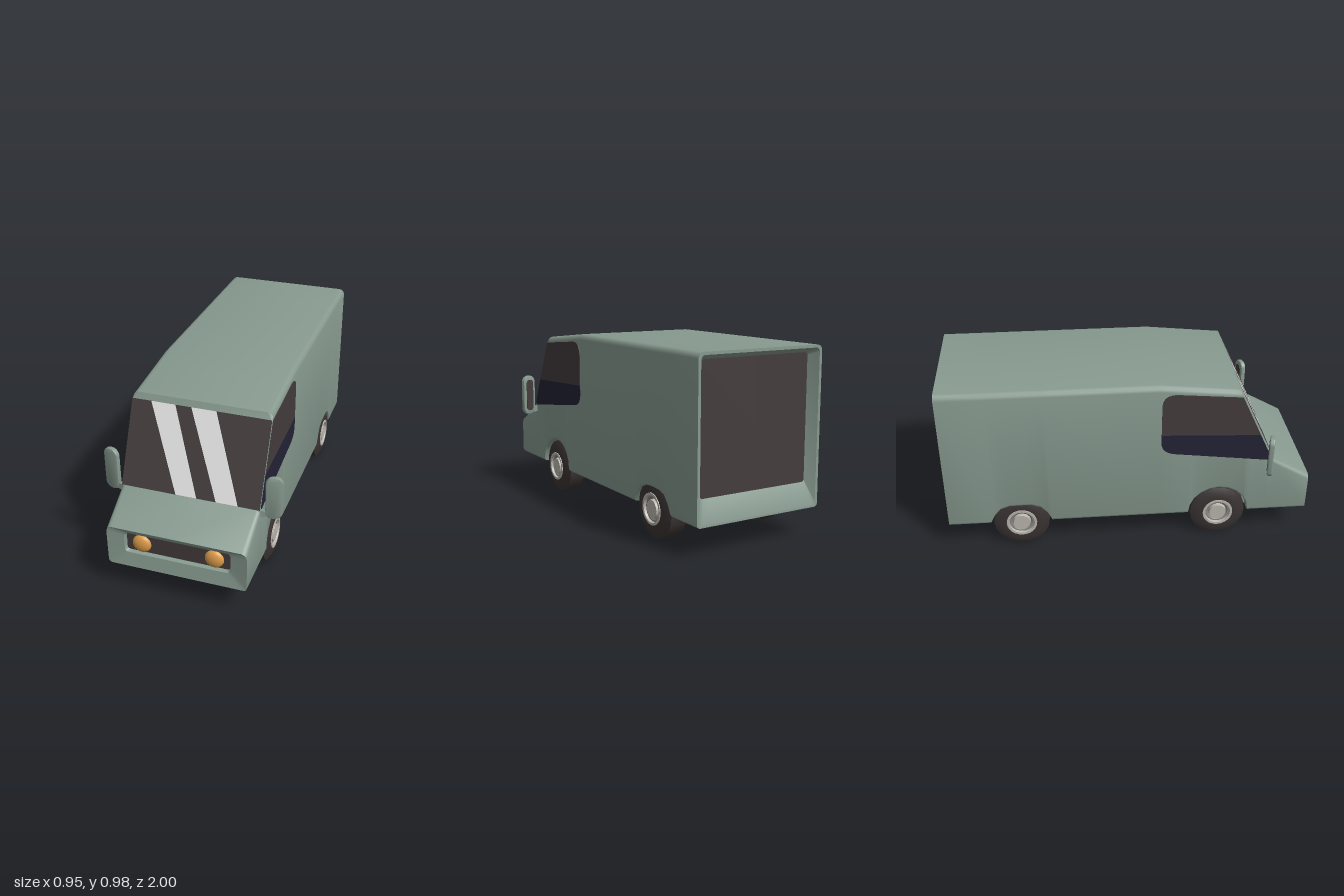
import * as THREE from 'three';
import { toCreasedNormals } from 'three/addons/utils/BufferGeometryUtils.js';

const material = (name, color, side = THREE.FrontSide) => {
  const m = new THREE.MeshStandardMaterial({ color, side });
  m.name = name;
  return m;
};

// Piecewise linear lookup through [z, value] pairs
function sample(pairs, z) {
  if (z <= pairs[0][0]) return pairs[0][1];
  for (let i = 1; i < pairs.length; i++) {
    const [z0, v0] = pairs[i - 1], [z1, v1] = pairs[i];
    if (z <= z1) return v0 + (v1 - v0) * (z - z0) / (z1 - z0);
  }
  return pairs[pairs.length - 1][1];
}

// Rounded section at z: half width w, floor b, sill a, top t, radii rb and rt
function section(z, w, b, a, t, rb, rt) {
  const half = [[0, b], [w * 0.81, b], [w * 0.81, a]];
  for (let i = 0; i <= 3; i++) {
    const k = i * Math.PI / 6;
    half.push([w - rb + rb * Math.sin(k), a + rb - rb * Math.cos(k)]);
  }
  for (let i = 0; i <= 3; i++) {
    const k = i * Math.PI / 6;
    half.push([w - rt + rt * Math.cos(k), t - rt + rt * Math.sin(k)]);
  }
  const mirrored = half.slice(1).reverse().map(([x, y]) => [-x, y]);
  return [...half, [0, t], ...mirrored].map(([x, y]) => [x, y, z]);
}

function loft(rings, crease = 0.6) {
  const n = rings[0].length, index = [];
  for (let i = 0; i < rings.length - 1; i++) {
    for (let j = 0; j < n; j++) {
      const k = (j + 1) % n, a = i * n + j, b = i * n + k;
      index.push(a, b, b + n, a, b + n, a + n);
    }
  }
  const g = new THREE.BufferGeometry();
  g.setAttribute('position', new THREE.Float32BufferAttribute(rings.flat(2), 3));
  g.setIndex(index);
  return toCreasedNormals(g, crease);
}

const collapse = (ring, y) => ring.map(p => [0, y, p[2]]);

const lathe = (pts, segments) => toCreasedNormals(
  new THREE.LatheGeometry(pts.map(([r, y]) => new THREE.Vector2(r, y)), segments), 0.5);

function roundedShape(w, h, r) {
  const s = new THREE.Shape(), x = w / 2, y = h / 2;
  s.absarc(x - r, y - r, r, 0, Math.PI / 2);
  s.absarc(r - x, y - r, r, Math.PI / 2, Math.PI);
  s.absarc(r - x, r - y, r, Math.PI, Math.PI * 1.5);
  s.absarc(x - r, r - y, r, Math.PI * 1.5, Math.PI * 2);
  return s;
}

export function createModel() {
  const van = new THREE.Group();
  van.name = 'van';
  const paint = material('greenPaint', 0x879a8f);
  const dark = material('darkGlass', 0x443c3d, THREE.DoubleSide);
  const navy = material('navyGlass', 0x232336);
  const shine = material('glassShine', 0xe6e6e6, THREE.DoubleSide);
  const amber = material('amberLamp', 0xdc9c4a);
  const rubber = material('rubber', 0x3a3433);
  const silver = material('silver', 0xbab6ad);
  const grey = material('greyMetal', 0x858582);

  const add = (name, geometry, mat, parent = van) => {
    const m = new THREE.Mesh(geometry, mat);
    m.name = name;
    parent.add(m);
    return m;
  };

  // Body shell with roof line, wheel arches and recessed ends
  const floor = 0.155;
  const roof = [[-1, 0.98], [0.16, 0.98], [0.585, 0.935], [0.79, 0.495], [1, 0.38]];
  const topRadius = [[-1, 0.03], [0.585, 0.03], [0.6, 0.006], [0.785, 0.006], [0.79, 0.02], [1, 0.03]];
  const sill = [[-0.77, floor], [-0.745, 0.205], [-0.71, 0.245], [-0.66, 0.262],
    [-0.54, 0.262], [-0.49, 0.245], [-0.455, 0.205], [-0.43, floor]];
  for (let i = 0; i <= 10; i++) {
    const k = Math.PI * (1 - i / 10);
    sill.push([0.5 + 0.168 * Math.cos(k), floor + 0.163 * Math.sin(k)]);
  }
  const stations = [...new Set([...roof, ...topRadius, ...sill].map(p => p[0]))].sort((a, b) => a - b);
  const shell = stations.map(z => section(z, 0.37, floor, sample(sill, z), sample(roof, z), 0.018, sample(topRadius, z)));
  const rearRing = section(-0.95, 0.32, 0.28, 0.28, 0.94, 0.015, 0.015);
  const rearLip = section(-1, 0.355, 0.17, 0.17, 0.965, 0.02, 0.02);
  const grilleLip = section(0.985, 0.282, 0.232, 0.232, 0.352, 0.018, 0.018);
  const grilleRing = section(0.965, 0.275, 0.238, 0.238, 0.346, 0.015, 0.015);
  add('body', loft([rearRing, rearLip, ...shell, grilleLip, grilleRing]), paint);
  add('rearPanel', loft([collapse(rearRing, 0.6), rearRing]), dark);
  add('grille', loft([grilleRing, collapse(grilleRing, 0.292)]), dark);

  // Windscreen strips, each given by left and right x at the top and bottom
  const strips = [
    [-0.369, -0.265, -0.369, -0.075], [-0.265, -0.135, -0.075, 0.037],
    [-0.135, -0.05, 0.037, 0.14], [-0.05, 0.083, 0.14, 0.255], [0.083, 0.369, 0.255, 0.369]];
  strips.forEach(([tl, tr, bl, br], i) => {
    const g = new THREE.BufferGeometry();
    const yT = 0.905, zT = 0.604, yB = 0.498, zB = 0.793;
    g.setAttribute('position', new THREE.Float32BufferAttribute(
      [bl, yB, zB, br, yB, zB, tr, yT, zT, tl, yT, zT], 3));
    g.setIndex([0, 1, 2, 0, 2, 3]);
    g.computeVertexNormals();
    add(i % 2 ? 'windscreenShine' : 'windscreenGlass', g, i % 2 ? shine : dark);
  });

  // Side window outlines, drawn in (-z, y)
  const upper = new THREE.Shape();
  upper.moveTo(-0.706, 0.663);
  upper.lineTo(-0.595, 0.9);
  upper.lineTo(-0.25, 0.932);
  upper.quadraticCurveTo(-0.17, 0.935, -0.17, 0.86);
  upper.lineTo(-0.17, 0.688);
  const lower = new THREE.Shape();
  lower.moveTo(-0.706, 0.663);
  lower.lineTo(-0.17, 0.688);
  lower.lineTo(-0.17, 0.64);
  lower.quadraticCurveTo(-0.17, 0.575, -0.25, 0.565);
  lower.lineTo(-0.775, 0.497);
  lower.lineTo(-0.775, 0.515);
  const plate = shape => new THREE.ExtrudeGeometry(shape, { depth: 0.006, bevelEnabled: false }).rotateY(Math.PI / 2);

  // Wheel profiles: radius, distance outward along the axle
  const tyre = lathe([[0, -0.055], [0.155, -0.055], [0.155, 0.035], [0.115, 0.055], [0.085, 0.055], [0.08, 0.035]], 18);
  const rim = lathe([[0.086, 0.04], [0.084, 0.059], [0.071, 0.059], [0.066, 0.04]], 24);
  const dish = lathe([[0.072, 0.046], [0.06, 0.046], [0.045, 0.035]], 24);
  const hub = lathe([[0.052, 0.03], [0.046, 0.056], [0, 0.056]], 24);

  // Mirror housing and its glass
  const housing = toCreasedNormals(new THREE.ExtrudeGeometry(roundedShape(0.072, 0.224, 0.031),
    { depth: 0.012, bevelSize: 0.008, bevelThickness: 0.008, bevelSegments: 2, curveSegments: 6 }).translate(0, 0, -0.006), 0.7);
  const mirrorGlass = new THREE.ExtrudeGeometry(roundedShape(0.05, 0.19, 0.022), { depth: 0.004, bevelEnabled: false });

  for (const s of [1, -1]) {
    const side = s > 0 ? 'left' : 'right';
    const x = s > 0 ? 0.367 : -0.373;
    add(side + 'UpperWindow', plate(upper), dark).position.x = x;
    add(side + 'LowerWindow', plate(lower), navy).position.x = x;

    const lamp = add(side + 'Headlamp', new THREE.SphereGeometry(0.05, 24, 14), amber);
    lamp.scale.z = 0.5;
    lamp.position.set(s * 0.193, 0.29, 0.967);

    for (const [end, z] of [['Front', 0.5], ['Rear', -0.6]]) {
      const wheel = new THREE.Group();
      wheel.name = side + end + 'Wheel';
      add('tyre', tyre, rubber, wheel);
      add('rim', rim, silver, wheel);
      add('dish', dish, grey, wheel);
      add('hub', hub, silver, wheel);
      wheel.rotation.z = -s * Math.PI / 2;
      wheel.position.set(s * 0.315, 0.155, z);
      van.add(wheel);
    }

    const mirror = new THREE.Group();
    mirror.name = side + 'Mirror';
    add('housing', housing, paint, mirror);
    add('mirrorGlass', mirrorGlass, dark, mirror).position.z = -0.0165;
    add('arm', new THREE.BoxGeometry(0.06, 0.035, 0.018), paint, mirror).position.set(-s * 0.055, -0.092, 0);
    mirror.position.set(s * 0.432, 0.565, 0.757);
    mirror.rotation.y = s * 0.28;
    van.add(mirror);
  }
  return van;
}
